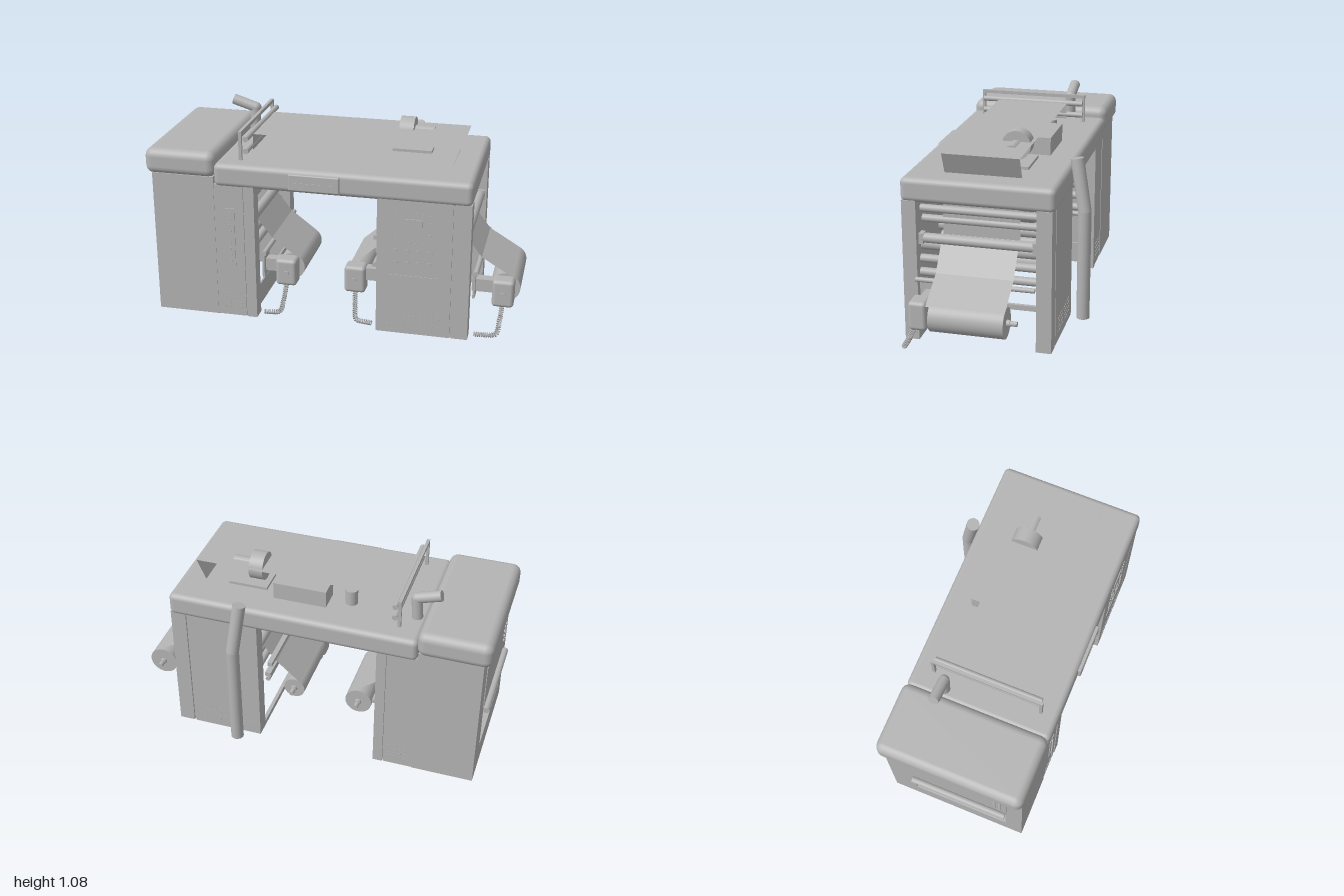
import * as THREE from 'three';
import { RoundedBoxGeometry } from 'three/addons/geometries/RoundedBoxGeometry.js';

const grey = new THREE.MeshStandardMaterial({ color: 0xb4b4b4, side: THREE.DoubleSide });
grey.name = 'machineGrey';

function add(parent, name, geometry) {
  const m = new THREE.Mesh(geometry, grey);
  m.name = name;
  parent.add(m);
  return m;
}

// Boxes given by their limits on each axis
function box(parent, name, x0, x1, y0, y1, z0, z1, r = 0) {
  const w = x1 - x0, h = y1 - y0, d = z1 - z0;
  const g = r ? new RoundedBoxGeometry(w, h, d, 3, r) : new THREE.BoxGeometry(w, h, d);
  return add(parent, name, g.translate((x0 + x1) / 2, (y0 + y1) / 2, (z0 + z1) / 2));
}

// Cylinder between two points
function rod(parent, name, a, b, r, sides = 20) {
  const p = new THREE.Vector3(...a), q = new THREE.Vector3(...b);
  const m = add(parent, name, new THREE.CylinderGeometry(r, r, p.distanceTo(q), sides));
  m.position.copy(p).add(q).multiplyScalar(0.5);
  m.quaternion.setFromUnitVectors(new THREE.Vector3(0, 1, 0), q.sub(p).normalize());
}

const roller = (parent, name, x, y, r, z0, z1) => rod(parent, name, [x, y, z0], [x, y, z1], r);

// Thin sheet following a profile in x and y
function web(parent, name, profile, z0 = -0.155, z1 = 0.248) {
  const pos = [];
  for (let i = 0; i + 1 < profile.length; i++) {
    const [a, b] = profile[i], [c, d] = profile[i + 1];
    pos.push(a, b, z0, a, b, z1, c, d, z1, a, b, z0, c, d, z1, c, d, z0);
  }
  const g = new THREE.BufferGeometry();
  g.setAttribute('position', new THREE.Float32BufferAttribute(pos, 3));
  g.computeVertexNormals();
  add(parent, name, g);
}

// Pipe made of straight lengths with rounded bends
function pipe(parent, name, points, r) {
  for (let i = 0; i + 1 < points.length; i++) {
    rod(parent, name, points[i], points[i + 1], r, 24);
    if (i) add(parent, name + 'Bend', new THREE.SphereGeometry(r, 24, 12)).position.set(...points[i]);
  }
}

// Coiled wire wound around a path
class Coil extends THREE.Curve {
  constructor(path, turns, radius) {
    super();
    Object.assign(this, { path, turns, radius });
  }
  getPoint(t, target = new THREE.Vector3()) {
    const u = Math.min(Math.max(t, 0), 1);
    const tan = this.path.getTangentAt(u);
    const side = new THREE.Vector3(0, 0, 1).cross(tan).normalize();
    const up = new THREE.Vector3().crossVectors(tan, side);
    const a = u * this.turns * Math.PI * 2;
    return target.copy(this.path.getPointAt(u))
      .addScaledVector(side, Math.cos(a) * this.radius)
      .addScaledVector(up, Math.sin(a) * this.radius);
  }
}

// Winding station: dir is the way it points from its cabinet face, reach the roll's distance
function station(parent, faceX, dir, reach, rollRadius) {
  const g = new THREE.Group();
  g.name = 'windingStation';
  const X = d => faceX + dir * d;
  const b = (name, d0, d1, ...rest) =>
    box(g, name, Math.min(X(d0), X(d1)), Math.max(X(d0), X(d1)), ...rest);
  b('mountPlate', 0.008, 0.02, 0.2, 0.34, 0.245, 0.34);
  b('mountArm', 0, reach - 0.05, 0.23, 0.3, 0.255, 0.31);
  b('motorBox', reach - 0.061, reach + 0.054, 0.16, 0.312, 0.245, 0.34, 0.02);
  roller(g, 'motorKnob', X(reach), 0.235, 0.015, 0.34, 0.348);
  roller(g, 'rollShaft', X(reach), 0.23, 0.013, -0.207, 0.25);
  roller(g, 'shaftCollar', X(reach), 0.23, 0.018, -0.172, 0.246);
  add(g, 'paperRoll', new THREE.CylinderGeometry(rollRadius, rollRadius, 0.383, 40)
    .rotateX(Math.PI / 2).translate(X(reach), 0.23, 0.0375));
  roller(g, 'guideRoller', X(0.025), 0.35, 0.013, -0.26, 0.36);
  web(g, 'paperWeb', [[X(-0.1), 0.75], [X(-0.1), 0.56], [X(-0.06), 0.53], [X(0.04), 0.4],
    [X(reach + rollRadius * 0.6), 0.23 + rollRadius * 0.8]]);
  const path = new THREE.CatmullRomCurve3([[reach - 0.005, 0.165, 0.32], [reach - 0.012, 0.09, 0.355],
    [reach - 0.025, 0.03, 0.39], [reach - 0.07, 0.022, 0.395], [0.03, 0.022, 0.4]]
    .map(([d, y, z]) => new THREE.Vector3(X(d), y, z)));
  add(g, 'coiledCable', new THREE.TubeGeometry(new Coil(path, 24, 0.011), 290, 0.0035, 5));
  parent.add(g);
}

// Rows of small studs on a face; axis 'z' faces front or back, 'x' faces the side
function studs(parent, name, cols, rows, u0, v0, du, dv, r, w, axis = 'z') {
  const geo = new THREE.CylinderGeometry(r, r, 0.008, 8);
  if (axis === 'z') geo.rotateX(Math.PI / 2); else geo.rotateZ(Math.PI / 2);
  for (let i = 0; i < cols; i++) for (let j = 0; j < rows; j++) {
    const u = u0 + i * du, v = v0 + j * dv;
    const m = add(parent, name, geo);
    if (axis === 'z') m.position.set(u, v, w); else m.position.set(w, v, u);
  }
}

export function createModel() {
  const root = new THREE.Group();
  root.name = 'printingMachine';

  // Left cabinet: front and back walls, divider, floor and side wall with a window
  const left = new THREE.Group();
  left.name = 'leftCabinet';
  root.add(left);
  box(left, 'frontWall', -0.96, -0.62, 0, 0.8, 0.36, 0.435);
  box(left, 'backWall', -0.96, -0.62, 0, 0.8, -0.34, -0.26);
  box(left, 'postFront', -0.62, -0.46, 0, 0.76, 0.36, 0.432);
  box(left, 'postBack', -0.62, -0.46, 0, 0.76, -0.337, -0.26);
  box(left, 'postFrontTrim', -0.453, -0.4, 0, 0.76, 0.36, 0.435);
  box(left, 'postBackTrim', -0.453, -0.4, 0, 0.76, -0.34, -0.26);
  box(left, 'postFrontSeam', -0.46, -0.453, 0, 0.76, 0.36, 0.425);
  box(left, 'postBackSeam', -0.46, -0.453, 0, 0.76, -0.33, -0.26);
  box(left, 'divider', -0.64, -0.62, 0, 0.78, -0.26, 0.36);
  box(left, 'floor', -0.96, -0.62, 0, 0.02, -0.26, 0.36);
  box(left, 'sill', -0.42, -0.41, 0.03, 0.15, -0.26, 0.36);
  const wall = new THREE.Shape([[-0.26, 0], [0.36, 0], [0.36, 0.8], [-0.26, 0.8]]
    .map(p => new THREE.Vector2(-p[0], p[1])));
  wall.holes.push(new THREE.Path([[-0.2, 0.14], [-0.2, 0.41], [0.34, 0.41], [0.34, 0.14]]
    .map(p => new THREE.Vector2(-p[0], p[1]))));
  add(left, 'sideWall', new THREE.ExtrudeGeometry(wall, { depth: 0.02, bevelEnabled: false })
    .rotateY(Math.PI / 2).translate(-0.96, 0, 0));
  box(left, 'sidePanel', -0.964, -0.96, 0.43, 0.69, -0.22, 0.35);
  box(left, 'cap', -1, -0.61, 0.79, 0.932, -0.36, 0.445, 0.045);
  studs(left, 'sideButton', 2, 6, 0.28, 0.51, 0.03, 0.032, 0.008, -0.968, 'x');
  roller(left, 'sideRoller', -0.975, 0.395, 0.018, -0.2, 0.34);
  for (const [x, y] of [[-0.93, 0.33], [-0.92, 0.26], [-0.9, 0.19]])
    roller(left, 'innerRoller', x, y, 0.02, -0.26, 0.36);

  // Right cabinet: two side slabs with an open passage for the web
  const right = new THREE.Group();
  right.name = 'rightCabinet';
  root.add(right);
  for (const [name, z0, z1, s] of [['front', 0.36, 0.435, 1], ['back', -0.34, -0.26, -1]]) {
    box(right, name + 'Slab', 0.26, 0.655, 0, 0.76, z0, z1);
    box(right, name + 'Trim', 0.665, 0.75, 0, 0.76, z0, z1);
    box(right, name + 'Seam', 0.655, 0.665, 0, 0.76, s > 0 ? z0 : z0 + 0.01, s > 0 ? z1 - 0.01 : z1);
  }
  box(right, 'sill', 0.26, 0.28, 0, 0.03, -0.26, 0.36);

  // Rollers across the passages
  const bars = [[0.08, 0.7, 0.02], [0.11, 0.635, 0.02], [0.1, 0.5, 0.032], [0.07, 0.43, 0.022], [0.06, 0.36, 0.022]];
  for (const [face, dir] of [[0.75, 1], [-0.4, 1], [0.26, -1]]) {
    for (const [d, y, r] of bars) roller(root, 'passageRoller', face - dir * d, y, r, -0.26, 0.36);
    const x = face - dir * 0.035;
    roller(root, 'guideBar', x, 0.557, 0.026, -0.25, 0.34);
    for (const z of [-0.25, 0.34])
      box(root, 'guideBarBlock', x - 0.025, x + 0.025, 0.53, 0.585, z - 0.012, z + 0.012);
  }
  box(root, 'middleUpperBar', 0.207, 0.235, 0.445, 0.468, -0.26, 0.25);
  box(root, 'middleLowerBar', 0.217, 0.25, 0.37, 0.395, -0.26, 0.25);

  station(root, 0.75, 1, 0.17, 0.08);
  station(root, -0.4, 1, 0.142, 0.075);
  station(root, 0.26, -1, 0.142, 0.06);

  // Bridge and its small display
  box(root, 'bridge', -0.617, 0.752, 0.75, 0.877, -0.355, 0.443, 0.03);
  box(root, 'bridgeDisplay', -0.205, 0.065, 0.77, 0.858, 0.435, 0.459, 0.006);
  box(root, 'displayStrip', -0.17, -0.03, 0.81, 0.815, 0.459, 0.462);
  box(root, 'displayStrip', 0, 0.03, 0.81, 0.815, 0.459, 0.462);

  // Control panel and vents
  box(right, 'screen', 0.4, 0.5, 0.57, 0.66, 0.435, 0.44);
  studs(right, 'screenKey', 2, 5, 0.36, 0.54, 0.18, 0.035, 0.006, 0.436);
  studs(right, 'screenKey', 4, 2, 0.396, 0.525, 0.036, 0.165, 0.006, 0.436);
  studs(right, 'dial', 4, 2, 0.36, 0.41, 0.06, 0.065, 0.015, 0.436);
  box(right, 'panelLine', 0.33, 0.58, 0.335, 0.34, 0.435, 0.438);
  studs(right, 'vent', 10, 4, 0.32, 0.05, 0.03, 0.025, 0.006, 0.433);
  studs(right, 'backVent', 10, 4, 0.32, 0.05, 0.03, 0.025, 0.006, -0.338);
  box(left, 'indicatorStrip', -0.56, -0.51, 0.3, 0.63, 0.432, 0.437);
  studs(left, 'indicator', 1, 9, -0.535, 0.33, 0.04, 0.034, 0.007, 0.438);
  studs(left, 'vent', 4, 4, -0.58, 0.05, 0.03, 0.025, 0.006, 0.431);
  studs(left, 'backVent', 4, 4, -0.58, 0.05, 0.03, 0.025, 0.006, -0.336);

  // Sheet across the top, running over the roller frame
  web(root, 'topSheet', [[-0.455, 0.9], [-0.45, 0.99], [0.66, 0.99], [0.61, 0.875]]);
  for (const z of [-0.254, 0.339]) box(root, 'framePost', -0.5, -0.483, 0.87, 1.035, z, z + 0.016);
  box(root, 'frameTop', -0.5, -0.483, 1.016, 1.035, -0.254, 0.355);
  for (const y of [0.923, 0.989]) roller(root, 'frameRoller', -0.465, y, 0.015, -0.245, 0.342);

  // Equipment on the bridge
  box(root, 'topBox', -0.085, 0.205, 0.87, 0.972, -0.208, -0.08);
  rod(root, 'topCylinder', [-0.2, 0.87, -0.12], [-0.2, 0.962, -0.12], 0.033);
  box(root, 'fanBase', 0.262, 0.475, 0.875, 0.892, -0.155, 0.03);
  rod(root, 'fanDrum', [0.292, 0.969, -0.063], [0.37, 0.969, -0.063], 0.077, 36);
  rod(root, 'fanMotor', [0.37, 0.968, -0.063], [0.475, 0.968, -0.063], 0.032);

  // Exhaust pipes
  pipe(root, 'capElbow', [[-0.565, 0.89, -0.156], [-0.557, 1.01, -0.156], [-0.685, 1.05, -0.156]], 0.029);
  pipe(root, 'rearPipe', [[0.365, 0.04, -0.427], [0.365, 0.64, -0.427], [0.335, 0.915, -0.377]], 0.035);

  return root;
}
